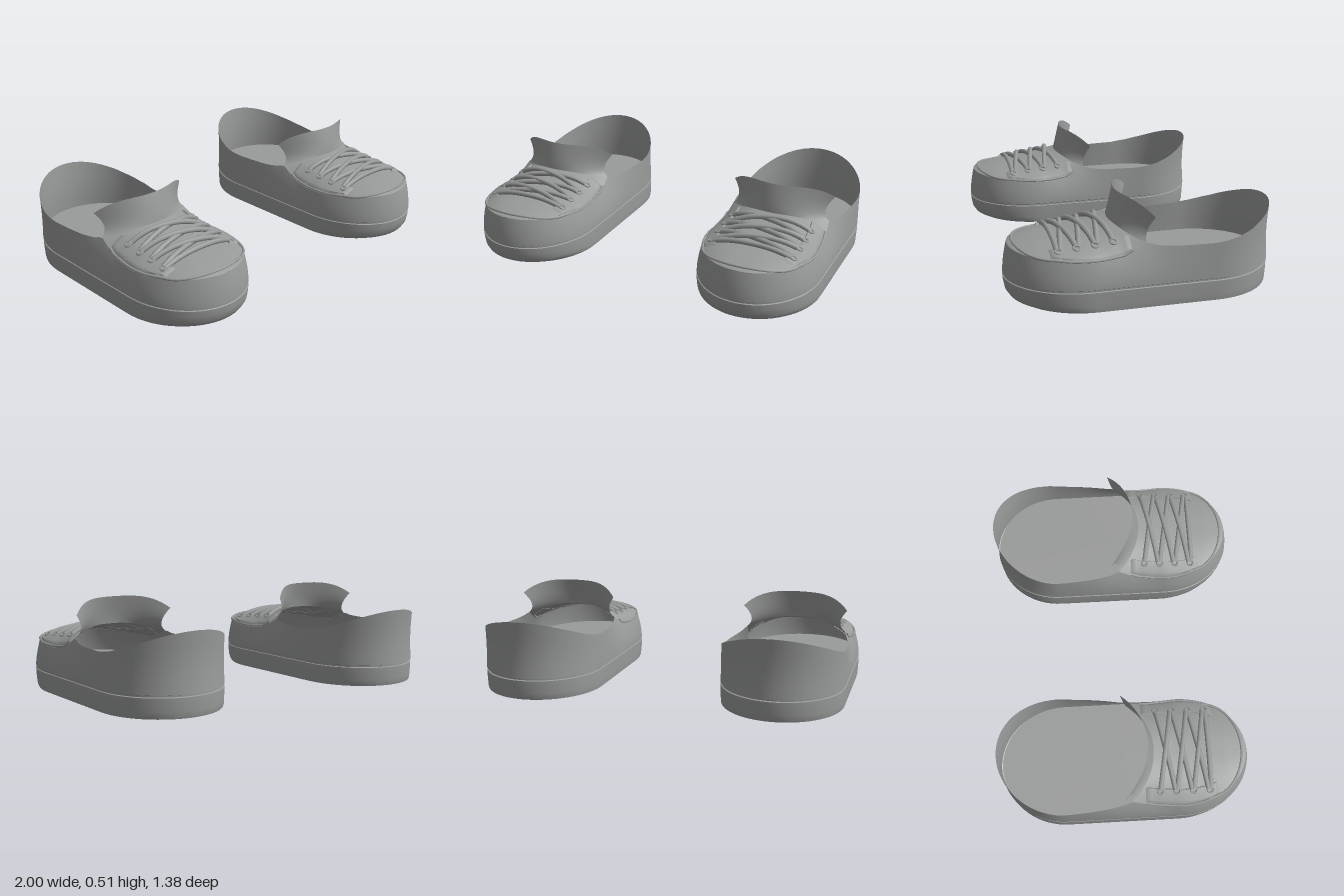
import * as THREE from 'three';
import { toCreasedNormals } from 'three/addons/utils/BufferGeometryUtils.js';

const W = 0.328, TOE = 0.965; // half width, and how far the toe rim sits back

// piecewise linear curve through [position, value] points
function ramp(pts) {
  return (z) => {
    if (z <= pts[0][0]) return pts[0][1];
    for (let i = 1; i < pts.length; i++) {
      const [a, va] = pts[i - 1], [b, vb] = pts[i];
      if (z <= b) return va + (vb - va) * (z - a) / (b - a);
    }
    return pts[pts.length - 1][1];
  };
}

const rimScale = ramp([[-0.69, 1], [-0.35, 0.985], [-0.2, 0.955], [-0.1, 0.92], [-0.03, 0.88],
  [0.03, 0.83], [0.08, 0.85], [0.15, 0.88], [0.3, 0.92], [0.69, 0.93]]);
const rimHeight = ramp([[-0.69, 0.42], [-0.6, 0.378], [-0.5, 0.338], [-0.4, 0.311], [-0.3, 0.298],
  [-0.1, 0.297], [-0.02, 0.303], [0.03, 0.318], [0.08, 0.29], [0.15, 0.255], [0.25, 0.245],
  [0.4, 0.248], [0.55, 0.26], [0.69, 0.27]]);
const vampTop = ramp([[0.03, 0.385], [0.15, 0.362], [0.25, 0.338], [0.4, 0.315], [0.55, 0.298],
  [0.63, 0.283], [0.67, 0.27]]);

function halfWidth(z) {
  const u = z > 0.3 ? (z - 0.3) / 0.39 : z < -0.33 ? (z + 0.33) / 0.36 : 0;
  return W * Math.sqrt(Math.max(0, 1 - u * u));
}
const rimHalf = (z) => halfWidth(z / TOE) * rimScale(z / TOE);

// point on the domed vamp; s runs -1..1 across
function vampPoint(s, z, lift = 0) {
  const e = rimHeight(z / TOE);
  const y = e + Math.max(0, vampTop(z) - e) * (1 - Math.pow(Math.abs(s), 2.6));
  return new THREE.Vector3(s * rimHalf(z), y + lift, z);
}
const vampAt = (x, z, lift) => vampPoint(x / rimHalf(z), z, lift);
const vampBack = (s) => 0.155 - 0.125 * s * s;

// surface through rows of points
function loft(rows, closed = false) {
  const n = rows[0].length, idx = [], pos = [];
  rows.forEach((r) => r.forEach((p) => pos.push(p.x, p.y, p.z)));
  for (let j = 0; j < rows.length - 1; j++) {
    for (let i = 0; i < (closed ? n : n - 1); i++) {
      const k = (i + 1) % n, a = j * n + i, b = j * n + k, c = a + n, d = b + n;
      idx.push(a, c, b, b, c, d);
    }
  }
  const g = new THREE.BufferGeometry();
  g.setAttribute('position', new THREE.Float32BufferAttribute(pos, 3));
  g.setIndex(idx);
  return toCreasedNormals(g, 0.7);
}
function grid(nu, nv, fn) {
  const rows = [];
  for (let j = 0; j <= nv; j++) {
    const row = [];
    for (let i = 0; i <= nu; i++) row.push(fn(i / nu, j / nv, i, j));
    rows.push(row);
  }
  return loft(rows);
}

// footprint: round toe, straight sides, round heel
function footprint() {
  const pts = [];
  const arc = (z0, len, from) => {
    for (let i = 0; i <= 36; i++) {
      const a = from + Math.PI * i / 36;
      pts.push([W * Math.cos(a), z0 + len * Math.sin(a)]);
    }
  };
  const side = (x, z0, z1) => {
    for (let i = 1; i < 24; i++) pts.push([x, z0 + (z1 - z0) * i / 24]);
  };
  arc(0.3, 0.39, 0);
  side(-W, 0.3, -0.33);
  arc(-0.33, 0.36, Math.PI);
  side(W, -0.33, 0.3);
  return pts;
}

function createShoe(mat) {
  const shoe = new THREE.Group();
  const add = (name, geo) => {
    const m = new THREE.Mesh(geo, mat);
    m.name = name;
    shoe.add(m);
  };
  const tube = (name, pts, r) =>
    add(name, new THREE.TubeGeometry(new THREE.CatmullRomCurve3(pts), pts.length * 4, r, 7));
  const plan = footprint();
  const ring = (scale, y, toeScale = scale) =>
    plan.map(([x, z]) => new THREE.Vector3(x * scale, y, z * (z > 0 ? toeScale : scale)));

  // sole with a rolled toe and a groove on top
  add('sole', loft([ring(0, 0), ring(0.985, 0, 0.925), ring(0.99, 0.01, 0.96), ring(0.992, 0.035, 0.985),
    ring(0.996, 0.07, 0.995), ring(0.996, 0.103, 1), ring(0.982, 0.106, 0.992), ring(0.982, 0.114, 0.992),
    ring(0.995, 0.117, 0.998)], true));
  add('insole', loft([ring(0, 0.14), ring(0.985, 0.14, 0.98)], true));

  // side wall, leaning in towards its rim
  const wall = [];
  for (let j = 0; j <= 10; j++) {
    const v = j / 10, f = Math.pow(v, 1.6);
    const waist = 1 - 0.012 * Math.sin(Math.PI * v);
    wall.push(plan.map(([x, z]) => new THREE.Vector3(
      x * (0.995 + (rimScale(z) - 0.995) * f),
      0.117 + (rimHeight(z) - 0.117) * v,
      z * (z > 0 ? 0.998 + (TOE - 0.998) * f : waist))));
  }
  add('sideWall', loft(wall, true));

  // vamp over the toes
  const zTip = 0.69 * TOE;
  add('vamp', grid(36, 36, (u, v) => {
    const s = u * 2 - 1, b = vampBack(s);
    return vampPoint(s, b + (zTip - b) * Math.sin(v * Math.PI / 2));
  }));

  // tongue flaring up from the back of the vamp
  add('tongue', grid(32, 12, (u, v) => {
    const s = u * 2 - 1, low = vampPoint(s, vampBack(s));
    const neck = new THREE.Vector3(s * 0.215, 0.405 - 0.045 * s * s, 0.15 - 0.125 * s * s);
    const lip = new THREE.Vector3(s * 0.285, 0.512 - 0.07 * Math.pow(s, 4), 0.12 - 0.132 * s * s);
    return low.multiplyScalar((1 - v) ** 2)
      .addScaledVector(neck, 2 * v * (1 - v)).addScaledVector(lip, v * v);
  }));

  // raised lace panels and eyelets
  for (const m of [-1, 1]) {
    add('lacePanel', grid(10, 22, (u, v, i, j) => {
      const edge = i === 0 || i === 10 || j === 0 || j === 22;
      return vampPoint(m * (0.7 + 0.27 * u), 0.095 + 0.4 * v, edge ? -0.004 : 0.011);
    }));
    const seam = [];
    for (let i = 0; i <= 10; i++) seam.push(vampPoint(m * 0.98, 0.1 + 0.041 * i, 0.002));
    tube('panelSeam', seam, 0.007);
    for (let i = 0; i < 4; i++) {
      const eye = new THREE.TorusGeometry(0.016, 0.006, 6, 14);
      eye.rotateX(-Math.PI / 2);
      eye.rotateZ(-m * 0.45);
      const p = vampAt(m * 0.222, 0.18 + i * 0.09, 0.012);
      eye.translate(p.x, p.y, p.z);
      add('eyelet', eye);
    }
  }

  // toe seam
  const toe = [];
  for (let i = 0; i <= 28; i++) {
    const a = Math.PI * i / 28;
    toe.push(vampAt(0.262 * Math.cos(a), 0.44 + 0.2 * Math.sin(a), 0.002));
  }
  tube('toeSeam', toe, 0.007);

  // crossed laces
  const lace = (z0, z1, lift) => {
    const pts = [];
    for (let i = 0; i <= 12; i++) {
      const t = i / 12;
      pts.push(vampAt(-0.215 + 0.43 * t, z0 + (z1 - z0) * t, 0.008 + lift * Math.sin(Math.PI * t)));
    }
    tube('lace', pts, 0.014);
  };
  for (let i = 0; i < 3; i++) {
    const z = 0.18 + i * 0.09;
    lace(z, z + 0.08, 0.004);
    lace(z + 0.08, z, 0.014);
  }
  lace(0.455, 0.455, 0.004);
  return shoe;
}

export function createModel() {
  const model = new THREE.Group();
  const grey = new THREE.MeshStandardMaterial({ color: 0x999b9a, side: THREE.DoubleSide });
  grey.name = 'grey';
  for (const m of [1, -1]) {
    const shoe = createShoe(grey);
    shoe.name = m > 0 ? 'leftShoe' : 'rightShoe';
    shoe.position.x = m * 0.672;
    shoe.scale.x = m;
    model.add(shoe);
  }
  return model;
}
